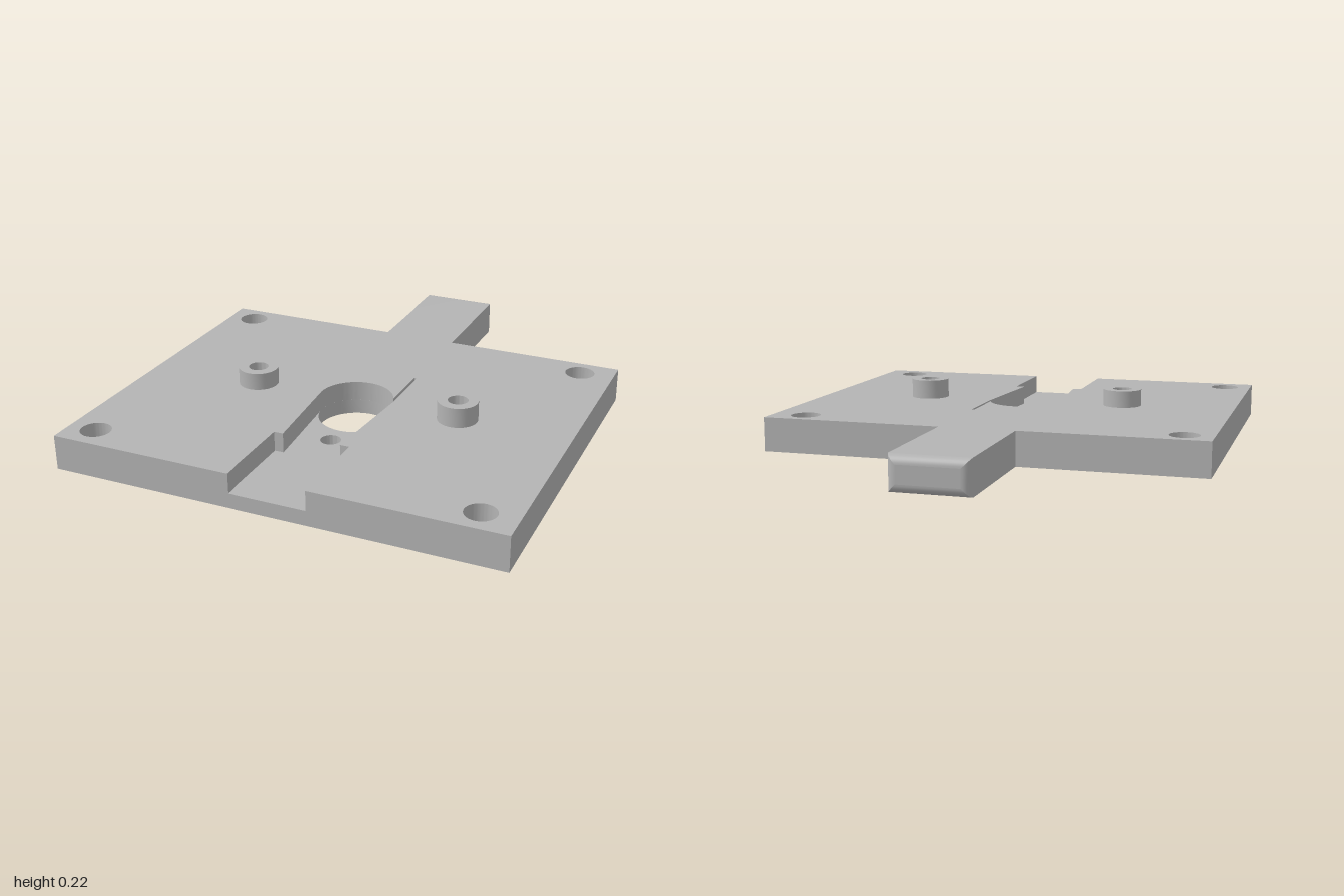
import * as THREE from 'three';
import { toCreasedNormals } from 'three/addons/utils/BufferGeometryUtils.js';

const TOP = 0.14, FLOOR = 0.06, BORE = 0.15, BORE_Z = 0.24;
const HALF_W = 0.9, BACK = -0.45, FRONT = 1, CHANNEL = 0.155;

export function createModel() {
  const group = new THREE.Group();
  const grey = new THREE.MeshStandardMaterial({ color: 0xb3b3b3 });
  grey.name = 'plain grey';

  const add = (name, geometry) => {
    const mesh = new THREE.Mesh(geometry, grey);
    mesh.name = name;
    group.add(mesh);
    return mesh;
  };

  // Plan outlines are given as [x, z]; shapes use y = -z
  const pts = (list) => list.map(([x, z]) => new THREE.Vector2(x, -z));
  const circle = (x, z, r) => new THREE.Path().absarc(x, -z, r, 0, Math.PI * 2, true);
  const arc = (from, to) => {
    const out = [];
    for (let i = 0; i <= 48; i++) {
      const a = from + (to - from) * i / 48;
      out.push([BORE * Math.cos(a), BORE_Z - BORE * Math.sin(a)]);
    }
    return out;
  };
  const slab = (name, shape, y0, y1) => {
    const g = new THREE.ExtrudeGeometry(shape, { depth: y1 - y0, bevelEnabled: false, curveSegments: 32 });
    g.rotateX(-Math.PI / 2);
    g.translate(0, y0, 0);
    add(name, toCreasedNormals(g, 0.5));
  };
  const cornerHoles = () => [-0.785, 0.76].flatMap((x) => [-0.355, 0.895].map((z) => circle(x, z, 0.06)));

  // Lower layer: channel floor, bore with thin slit, pin hole
  const slit = [[0.143, -0.03], [0.155, -0.03]];
  const lower = new THREE.Shape(pts([[-HALF_W, FRONT], [HALF_W, FRONT], [HALF_W, BACK], [-HALF_W, BACK]]));
  const bore = new THREE.Path(pts([...slit, [0.155, BORE_Z], ...arc(0, -Math.PI * 2 + 0.307)]));
  lower.holes.push(bore, circle(0, 0.475, 0.04), ...cornerHoles());
  slab('lowerPlate', lower, 0, FLOOR);

  // Upper layer: open channel narrowing to a neck that leads into the bore
  const upper = new THREE.Shape(pts([
    [-HALF_W, FRONT], [-CHANNEL, FRONT], [-CHANNEL, 0.64], [-0.118, 0.64],
    ...arc(Math.PI + 0.15, 0.307),
    ...slit, [0.153, 0.22], [0.118, 0.64], [CHANNEL, 0.64], [CHANNEL, FRONT],
    [HALF_W, FRONT], [HALF_W, BACK], [-HALF_W, BACK],
  ]));
  upper.holes.push(...cornerHoles());
  slab('upperPlate', upper, FLOOR, TOP);

  // Rear tongue: a bar whose far end is rounded by insetting its cross-sections
  const radius = 0.035, steps = 8;
  const bar = new THREE.BoxGeometry(CHANNEL * 2, TOP, 1, 1, 1, steps + 1);
  const p = bar.attributes.position;
  for (let i = 0; i < p.count; i++) {
    const k = Math.round((p.getZ(i) + 0.5) * (steps + 1));
    const a = Math.min(k / steps, 1) * Math.PI / 2;
    const inset = radius * (1 - Math.sin(a));
    p.setX(i, p.getX(i) - Math.sign(p.getX(i)) * inset);
    p.setY(i, p.getY(i) - Math.sign(p.getY(i)) * inset + TOP / 2);
    p.setZ(i, k > steps ? BACK : -1 + radius * (1 - Math.cos(a)));
  }
  bar.computeVertexNormals();
  add('tongue', bar);

  // Two hollow posts
  for (const [name, x, h] of [['rightPost', -0.425, 0.21], ['leftPost', 0.443, 0.22]]) {
    const profile = [[0.08, TOP], [0.08, h], [0.04, h], [0.04, TOP]].map(([r, y]) => new THREE.Vector2(r, y));
    const post = add(name, toCreasedNormals(new THREE.LatheGeometry(profile, 40), 0.5));
    post.position.set(x, 0, 0.258);
  }
  return group;
}
